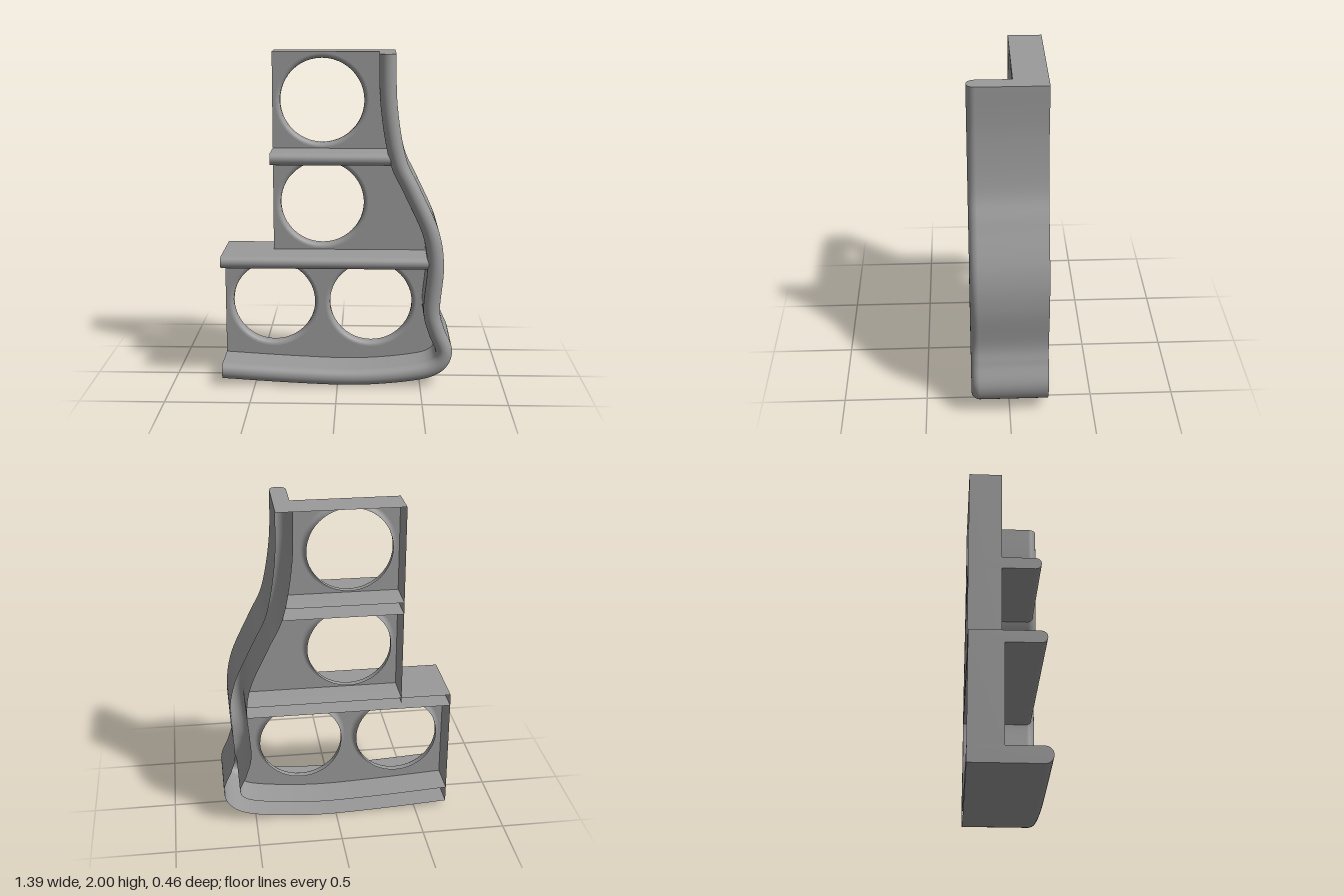
import * as THREE from 'three';

const BACK = -0.228, FRONT = 0.228, SHELF_FRONT = 0.207, PANEL = -0.028;
const LEFT = -0.697, STEP = -0.395; // outer edges of the lower and upper tiers
const material = new THREE.MeshStandardMaterial({ color: 0x9a9a9a, side: THREE.DoubleSide });

function buffer(positions, index) {
  const g = new THREE.BufferGeometry();
  g.setAttribute('position', new THREE.Float32BufferAttribute(positions, 3));
  g.setIndex(index);
  g.computeVertexNormals();
  return g;
}

function addMesh(parent, name, geometry) {
  const mesh = new THREE.Mesh(geometry, material);
  mesh.name = name;
  parent.add(mesh);
  return mesh;
}

// U-shaped section (offset, z): open at the back, half-round at the front
function section(h, front) {
  const pts = [[-h, BACK]];
  for (let k = 0; k <= 14; k++) {
    const a = Math.PI * k / 14;
    pts.push([-h * Math.cos(a), front - h + h * Math.sin(a)]);
  }
  pts.push([h, BACK]);
  return pts;
}

// Points of a path with their outward normals; the ends are cut square to the axes
function framesOf(points) {
  return points.map((p, i) => {
    const t = points[Math.min(i + 1, points.length - 1)].clone().sub(points[Math.max(i - 1, 0)]).normalize();
    const n = new THREE.Vector2(-t.y, t.x);
    if (i === 0 || i === points.length - 1) {
      if (Math.abs(n.x) > Math.abs(n.y)) n.set(Math.sign(n.x), 0);
      else n.set(0, Math.sign(n.y));
    }
    return { p, n };
  });
}

// Hollow rail swept along a path; its start is capped, or trimmed to a surface x = startX(y, z)
function addRail(parent, name, frames, h, front, startX) {
  const prof = section(h, front), m = prof.length, pos = [], index = [];
  const ring = ({ p, n }, trim) => prof.flatMap(([o, z]) => {
    const y = p.y + n.y * o;
    return [trim ? trim(y, z) : p.x + n.x * o, y, z];
  });
  frames.forEach((f, i) => {
    pos.push(...ring(f, i === 0 && startX));
    if (i === frames.length - 1) return;
    for (let j = 0; j < m - 1; j++) {
      const a = i * m + j, b = a + m;
      index.push(a, b, a + 1, a + 1, b, b + 1);
    }
  });
  const group = new THREE.Group();
  group.name = name;
  addMesh(group, name + 'Skin', buffer(pos, index));
  const cap = (f, flip) => {
    const fan = [];
    for (let j = 1; j < m - 1; j++) fan.push(0, flip ? j + 1 : j, flip ? j : j + 1);
    addMesh(group, name + 'End', buffer(ring(f), fan));
  };
  if (!startX) cap(frames[0], false);
  cap(frames[frames.length - 1], true);
  parent.add(group);
}

// Flat wall from the panel to the back edge, between two front-plane points
function addWall(parent, name, [x0, y0], [x1, y1]) {
  addMesh(parent, name, buffer(
    [x0, y0, PANEL, x1, y1, PANEL, x1, y1, BACK, x0, y0, BACK], [0, 1, 2, 0, 2, 3]));
}

export function createModel() {
  const model = new THREE.Group();
  model.name = 'steppedFrame';

  // Curved outer rim, from the top down the side and along the base
  const h = 0.049;
  const curve = new THREE.SplineCurve([
    [0.29, 2], [0.299, 1.7], [0.352, 1.39], [0.439, 1.2], [0.552, 0.95], [0.584, 0.74],
    [0.565, 0.48], [0.594, 0.35], [0.643, 0.22], [0.592, 0.128], [0.442, 0.083],
    [0.12, 0.054], [-0.25, 0.063], [LEFT, 0.089],
  ].map(([x, y]) => new THREE.Vector2(x, y)));
  const rim = framesOf(curve.getPoints(130));
  addRail(model, 'rim', rim, h, FRONT);

  // Inner face of the rim, including its rounded front
  const inner = rim.map(({ p, n }) => p.clone().addScaledVector(n, -h));
  const rimFace = (y, z) => {
    const i = inner.findIndex((q) => q.y < y);
    const a = inner[i - 1], b = inner[i];
    const d = Math.max(0, z - (FRONT - h));
    return THREE.MathUtils.mapLinear(y, a.y, b.y, a.x, b.x) + h - Math.sqrt(h * h - d * d);
  };

  // Two shelves with rounded front edges, fitted against the rim
  for (const [name, left, y] of [['upperShelf', STEP, 1.387], ['lowerShelf', LEFT, 0.763]]) {
    const path = [new THREE.Vector2(0.3, y), new THREE.Vector2(left, y)];
    addRail(model, name, framesOf(path), 0.036, SHELF_FRONT, rimFace);
  }

  // Stepped panel inside the rim, with four round openings
  const radius = 0.253, fillet = 0.027;
  const centres = [[-0.098, 1.708], [-0.098, 1.087], [-0.398, 0.46], [0.201, 0.46]];
  const outline = [...inner,
    new THREE.Vector2(LEFT, 0.763), new THREE.Vector2(STEP, 0.763), new THREE.Vector2(STEP, 2)];
  const shape = new THREE.Shape(outline);
  for (const [x, y] of centres) {
    shape.holes.push(new THREE.Path().absarc(x, y, radius + fillet, 0, Math.PI * 2, true));
  }
  addMesh(model, 'panel', new THREE.ShapeGeometry(shape, 24)).position.z = PANEL;

  // Rounded lips turning back into each opening, from the outer edge inward
  const lip = [];
  for (let k = 0; k <= 6; k++) {
    const a = Math.PI / 2 * k / 6;
    lip.push(new THREE.Vector2(radius + fillet * (1 - Math.sin(a)), fillet * (Math.cos(a) - 1)));
  }
  lip.push(new THREE.Vector2(radius, -0.06));
  const lipGeometry = new THREE.LatheGeometry(lip, 48).rotateX(Math.PI / 2);
  for (const [x, y] of centres) addMesh(model, 'openingLip', lipGeometry).position.set(x, y, PANEL);

  // Side and top walls behind the panel
  addWall(model, 'topWall', [STEP, 2], [inner[0].x, 2]);
  addWall(model, 'upperSideWall', [STEP, 0.763], [STEP, 2]);
  addWall(model, 'lowerSideWall', [LEFT, 0.138], [LEFT, 0.763]);

  return model;
}
